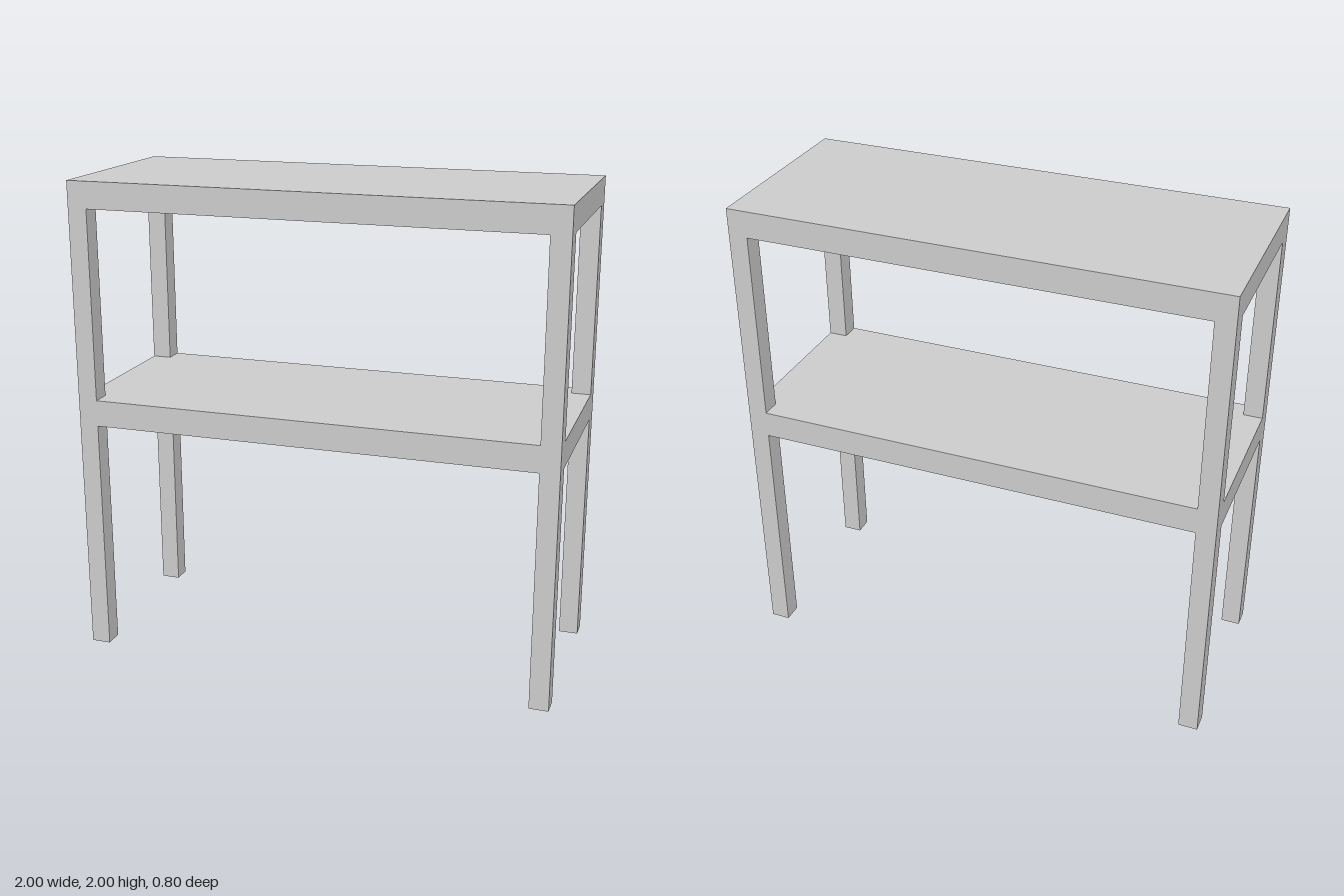
import * as THREE from 'three';

const W = 1, D = 0.4;        // half width and half depth
const LEG = 0.08;            // leg thickness
const RAIL = 0.04;           // rail thickness
const RAIL_H = 0.11;         // rail height including the panel
const PANEL = 0.015;         // panel thickness

const material = new THREE.MeshStandardMaterial({ color: 0xcccccc, flatShading: true });

function addBox(parent, name, [w, h, d], [x, y, z]) {
  const mesh = new THREE.Mesh(new THREE.BoxGeometry(w, h, d), material);
  mesh.position.set(x, y, z);
  mesh.name = name;
  parent.add(mesh);
}

// Shelf panel with its corners cut out around the legs
function addNotchedPanel(parent, top) {
  const a = W - LEG, b = D - LEG;
  const shape = new THREE.Shape([
    [a, -D], [a, -b], [W, -b], [W, b], [a, b], [a, D],
    [-a, D], [-a, b], [-W, b], [-W, -b], [-a, -b], [-a, -D],
  ].map(([x, y]) => new THREE.Vector2(x, y)));
  const geometry = new THREE.ExtrudeGeometry(shape, { depth: PANEL, bevelEnabled: false });
  geometry.rotateX(-Math.PI / 2);
  const mesh = new THREE.Mesh(geometry, material);
  mesh.position.y = top - PANEL;
  mesh.name = 'shelfPanel';
  parent.add(mesh);
}

// Rails on four sides and cross slats under a panel whose top is at the given height
function addFrame(parent, top) {
  const h = RAIL_H - PANEL;
  const y = top - PANEL - h / 2;
  for (const s of [-1, 1]) {
    addBox(parent, 'longRail', [2 * (W - LEG), h, RAIL], [0, y, s * (D - RAIL / 2)]);
    addBox(parent, 'endRail', [RAIL, h, 2 * (D - LEG)], [s * (W - RAIL / 2), y, 0]);
  }
  const slatH = 0.04;
  for (let i = 0; i < 6; i++) {
    addBox(parent, 'slat', [0.04, slatH, 2 * (D - RAIL)],
      [(i - 2.5) * 0.303, top - PANEL - slatH / 2, 0]);
  }
}

export function createModel() {
  const table = new THREE.Group();
  table.name = 'shelfTable';

  // Legs
  const legH = 2 - PANEL;
  for (const sx of [-1, 1]) for (const sz of [-1, 1]) {
    addBox(table, 'leg', [LEG, legH, LEG], [sx * (W - LEG / 2), legH / 2, sz * (D - LEG / 2)]);
  }

  // Table top
  const top = new THREE.Group();
  top.name = 'top';
  addBox(top, 'topPanel', [2 * W, PANEL, 2 * D], [0, 2 - PANEL / 2, 0]);
  addFrame(top, 2);
  table.add(top);

  // Lower shelf
  const shelf = new THREE.Group();
  shelf.name = 'lowerShelf';
  addNotchedPanel(shelf, 1.1);
  addFrame(shelf, 1.1);
  table.add(shelf);

  return table;
}
